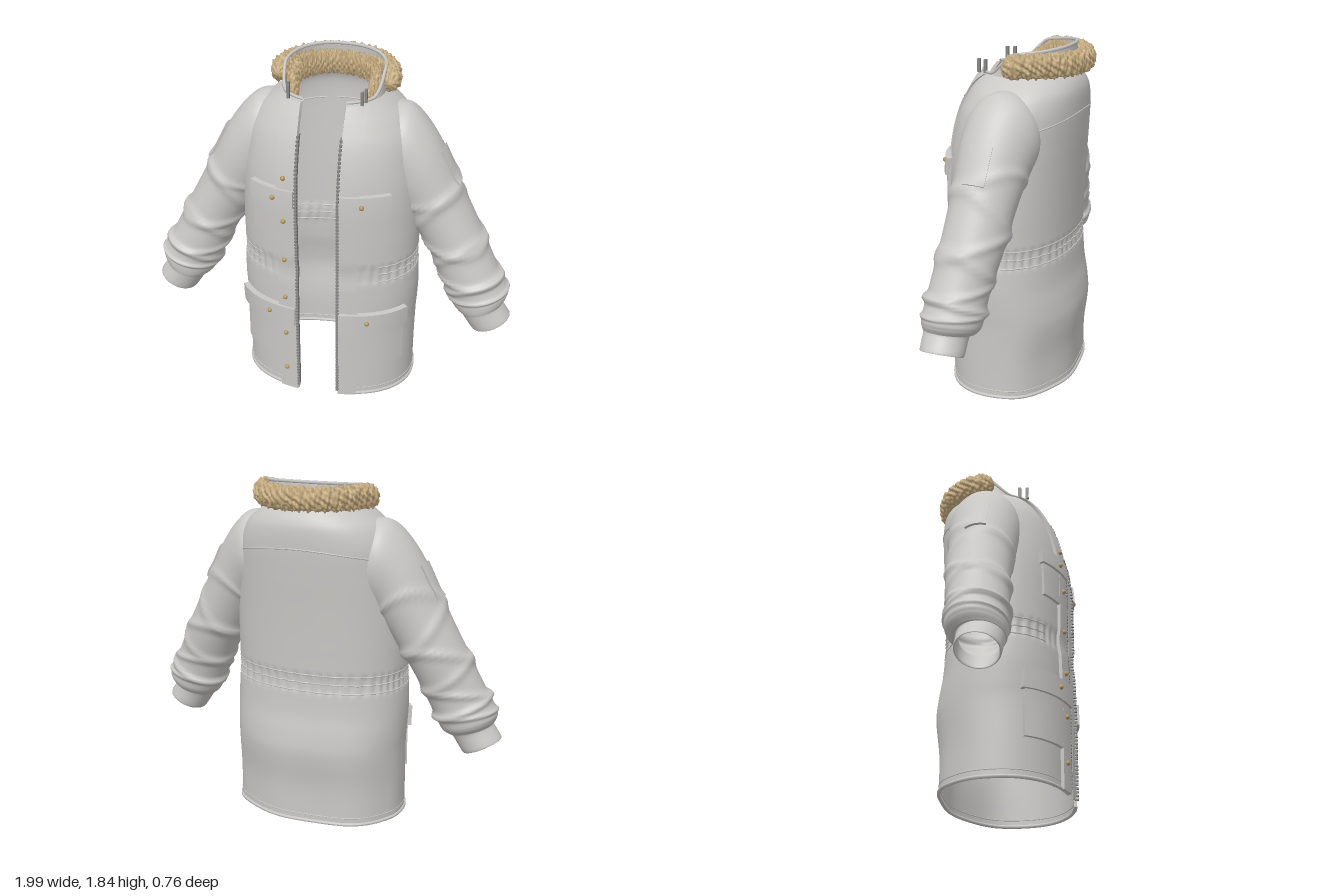
import * as THREE from 'three';
import { mergeGeometries } from 'three/addons/utils/BufferGeometryUtils.js';
import { ParametricGeometry } from 'three/addons/geometries/ParametricGeometry.js';

const { lerp, clamp, smoothstep } = THREE.MathUtils;
const mat = (name, color) => Object.assign(
  new THREE.MeshStandardMaterial({ color, side: THREE.DoubleSide }), { name });

// Body sections: height, half width, front z, back z
const BODY = [
  [0, .47, .35, -.31], [.2, .47, .352, -.312], [.4, .472, .355, -.335], [.5, .478, .355, -.326],
  [.62, .482, .353, -.305], [.8, .475, .35, -.295], [1, .475, .352, -.3], [1.2, .468, .352, -.31],
  [1.35, .455, .335, -.32], [1.5, .43, .295, -.328], [1.6, .375, .25, -.326],
  [1.65, .32, .225, -.31], [1.69, .265, .2, -.28]];
// Sleeve sections: outer x y, inner x y, centre z, half depth
const SLEEVE = [
  [.30, 1.645, .28, 1.2, -.04, .17], [.42, 1.62, .30, 1.18, -.03, .195], [.55, 1.47, .34, 1.13, -.015, .185],
  [.68, 1.22, .41, 1.04, -.005, .167], [.80, .99, .52, .87, .01, .158], [.90, .79, .60, .71, .035, .15],
  [.97, .665, .665, .575, .045, .15], [.972, .62, .69, .535, .05, .145], [.955, .585, .715, .515, .06, .13],
  [.95, .575, .735, .502, .07, .114], [.995, .51, .795, .415, .07, .11], [.985, .51, .805, .42, .07, .1],
  [.95, .57, .76, .485, .07, .098]].map((r, i) => [i, ...r]);
// Sleeve folds: position, width, height, slant
const FOLDS = [[2.6, .12, .007, .4], [3.3, .13, .008, -.35], [4, .13, .011, .35], [4.45, .12, .009, -.3],
  [5.1, .12, .011, .25], [5.5, .12, .013, -.2], [5.9, .12, .011, .12]];
const EDGE = .11, POWER = 2.25;

// Smooth interpolation of rows keyed on their first column
function sample(rows, k) {
  let i = 0;
  while (i < rows.length - 2 && k > rows[i + 1][0]) i++;
  const a = rows[i], b = rows[i + 1], p = rows[i - 1] ?? a, n = rows[i + 2] ?? b;
  const h = b[0] - a[0], s = clamp((k - a[0]) / h, 0, 1), s2 = s * s, s3 = s2 * s;
  return a.map((_, c) => {
    const m0 = (b[c] - p[c]) / (b[0] - p[0]) * h, m1 = (n[c] - a[c]) / (n[0] - a[0]) * h;
    return (2 * s3 - 3 * s2 + 1) * a[c] + (s3 - 2 * s2 + s) * m0 + (3 * s2 - 2 * s3) * b[c] + (s3 - s2) * m1;
  });
}

// Point on the coat body; t is the angle from the front towards +x
function bodyPoint(y, t, off = 0, out = new THREE.Vector3()) {
  const [, hw, zf, zb] = sample(BODY, y), a = (zf - zb) / 2, s = Math.sin(t), c = Math.cos(t);
  const r = (Math.abs(s) ** POWER + Math.abs(c) ** POWER) ** (-1 / POWER);
  const len = Math.hypot(s * a, c * hw);
  const waist = Math.exp(-(((y - .79) / .05) ** 4));
  const side = smoothstep(Math.abs(s), .3, .6) + smoothstep(-c, .3, .8);
  const d = off + waist * (-.006 + .004 * Math.min(1, side) * Math.sin(48 * t + Math.sin(9 * t)))
    + .005 * Math.sin(7 * t) * smoothstep(-c, 0, .6) * smoothstep(.7 - y, 0, .6);
  return out.set(hw * s * r + d * s * a / len, y, (zf + zb) / 2 + a * c * r + d * c * hw / len);
}

// Angle at which the front of the body reaches a given x
function angleAt(y, x) {
  const q = x / sample(BODY, y)[1];
  return Math.atan2(q, (1 - Math.abs(q) ** POWER) ** (1 / POWER));
}
const frontPoint = (x, y, off) => bodyPoint(y, angleAt(y, x), off);
const around = (y, u) => { const e = angleAt(y, EDGE); return lerp(e, 2 * Math.PI - e, u); };

// Point on a sleeve; s is +1 for the left sleeve, -1 for the right
function sleevePoint(s, k, v, off, out) {
  const [, ox, oy, ix, iy, zc, rz] = sample(SLEEVE, k), c = Math.cos(v);
  let d = off;
  for (const [p, w, h, tilt] of FOLDS) d += h * Math.exp(-(((k - p - tilt * Math.cos(v + s * .8)) / w) ** 2));
  const f = 1 + d / .15;
  return out.set(s * ((ox + ix) / 2 + (ox - ix) / 2 * c * f), (oy + iy) / 2 + (oy - iy) / 2 * c * f,
    zc - s * rz * Math.sin(v) * f);
}

// Box bent by a rule that maps unit coordinates to a surface
function bend(nx, ny, rule) {
  const g = new THREE.BoxGeometry(1, 1, 1, nx, ny, 1), p = g.attributes.position, q = new THREE.Vector3();
  for (let i = 0; i < p.count; i++) {
    rule(p.getX(i) + .5, p.getY(i) + .5, p.getZ(i) + .5, q);
    p.setXYZ(i, q.x, q.y, q.z);
  }
  g.computeVertexNormals();
  return g;
}

// Cloth panel lying on the front; x runs left to right so faces point out
function patch(xa, xb, y0, y1, thick) {
  const x0 = Math.min(xa, xb), x1 = Math.max(xa, xb);
  return bend(Math.ceil((x1 - x0) * 45), Math.ceil((y1 - y0) * 35), (a, b, c, q) =>
    q.copy(frontPoint(lerp(x0, x1, a), lerp(y0, y1, b), lerp(-.006, thick, c))));
}

function tube(fn, n, r) {
  const pts = Array.from({ length: n + 1 }, (_, i) => fn(i / n));
  return new THREE.TubeGeometry(new THREE.CatmullRomCurve3(pts), n, r, 6);
}

// Standing collar, high at the back and vanishing at the front
function collarPoint(u, v, out = new THREE.Vector3()) {
  bodyPoint(1.69, around(1.69, u), 0, out);
  const h = .012 + .1 * smoothstep(-out.z, -.1, .05) + .035 * clamp(-out.z / .28, 0, 1);
  out.x *= 1 - .03 * v;
  out.z *= 1 - .04 * v;
  out.y = 1.685 + v * h;
  return out;
}

// Lumpy fur roll swept round the neck
function furRoll(t0, blunt, rx, front, back, yBack, yFront, rr, ry) {
  return new ParametricGeometry((u, w, out) => {
    const t = lerp(t0, 2 * Math.PI - t0, u), v = w * 2 * Math.PI, s = Math.sin(t), c = Math.cos(t);
    const end = Math.min(1, Math.sqrt(Math.max(0, Math.sin(Math.PI * u)) * blunt));
    const lump = Math.sin(38 * t + 2 * Math.sin(3 * v)) * Math.sin(5 * v + 1.5 * Math.sin(9 * t))
      + .6 * Math.sin(67 * t + 4 * v) * Math.sin(7 * v - 23 * t);
    const f = end * (1 + .17 * lump), y = lerp(yBack, yFront, smoothstep(c, -.3, .75));
    const z = -.03 + (c > 0 ? front : back) * c, k = rr * f * Math.cos(v);
    out.set(rx * s + s * k, y + ry * f * Math.sin(v), z + c * k);
  }, 230, 32);
}

export function createModel() {
  const group = new THREE.Group();
  const fabric = mat('light grey cloth', 0xcac8c5), fur = mat('tan fur', 0xc6ac80);
  const brass = mat('brass', 0xb39a5c), zip = mat('zip grey', 0x858584);
  const add = (name, geometry, material = fabric) => {
    const m = new THREE.Mesh(geometry, material);
    m.name = name;
    group.add(m);
    return m;
  };

  // Body shell, hem, seams and collar
  add('body', new ParametricGeometry((u, v, out) => {
    const y = lerp(.006, 1.69, v);
    bodyPoint(y, around(y, u), 0, out);
  }, 220, 80));
  add('hem', tube(u => bodyPoint(.01, around(.01, u)), 80, .01));
  add('hemStitch', tube(u => bodyPoint(.045, around(.045, u)), 80, .003));
  for (const y of [.745, .79, .835]) add('waistCord', tube(u => bodyPoint(y, around(y, lerp(.08, .92, u))), 180, .004));
  add('backYokeSeam', tube(u => {
    const t = lerp(.55, 1.45, u) * Math.PI;
    return bodyPoint(1.43 + .07 * Math.cos(t) ** 2, t);
  }, 50, .004));
  add('collar', new ParametricGeometry((u, v, out) => { collarPoint(u, v, out); }, 100, 6));
  add('collarRim', tube(u => collarPoint(u, 1), 100, .009));

  // Fur trim outside and inside the collar
  add('outerFur', furRoll(1.45, 8, .29, .295, .295, 1.755, 1.71, .045, .058), fur);
  add('innerFur', furRoll(.72, 14, .212, .25, .21, 1.74, 1.62, .03, .062), fur);

  for (const s of [1, -1]) {
    const side = s > 0 ? 'left' : 'right';
    // Sleeve with cuff
    add(side + 'Sleeve', new ParametricGeometry((u, v, out) => {
      sleevePoint(s, u * 12, v * 2 * Math.PI, 0, out);
    }, 132, 40));
    add(side + 'ArmPocket', bend(8, 12, (a, b, c, q) =>
      sleevePoint(s, lerp(2.22, 2.9, b), lerp(-.31, .31, a), lerp(-.004, .009, c), q)));

    // Front edge: placket, zip tape and teeth
    add(side + 'Placket', patch(s * EDGE, s * .21, .004, 1.688, s < 0 ? .018 : .011));
    add(side + 'ZipTape', patch(s * .103, s * .113, .04, 1.55, .006), zip);
    const teeth = [];
    for (let y = .04; y < 1.55; y += .02) {
      const p = frontPoint(s * .108, y, .01);
      teeth.push(new THREE.BoxGeometry(.014, .011, .02).translate(p.x, p.y, p.z));
    }
    add(side + 'ZipTeeth', mergeGeometries(teeth), zip);

    // Pockets with flaps
    add(side + 'ChestPocket', patch(s * .13, s * .34, 1.0, 1.2, .016));
    add(side + 'ChestFlap', patch(s * .115, s * .35, 1.18, 1.27, .03));
    add(side + 'LowerPocket', patch(s * .115, s * .425, .21, .47, .018));
    add(side + 'LowerFlap', patch(s * .115, s * .435, .45, .56, .032));
    for (const [x, y] of [[.22, 1.22], [.255, .51]]) {
      const b = add(side + 'FlapButton', new THREE.SphereGeometry(.013, 16, 10), brass);
      b.position.copy(frontPoint(s * x, y, .033));
    }

    // Short stays at the neck
    for (const z of [.13, .17]) {
      add(side + 'NeckStay', new THREE.BoxGeometry(.014, .07, .016), zip)
        .position.set(s * (.23 - z * .25), 1.725, z);
    }
  }

  // Placket buttons
  for (const y of [1.33, 1.09, .855, .62, .385, .145]) {
    const b = add('placketButton', new THREE.SphereGeometry(.013, 16, 10), brass);
    b.position.copy(frontPoint(-.17, y, .021));
  }
  return group;
}
